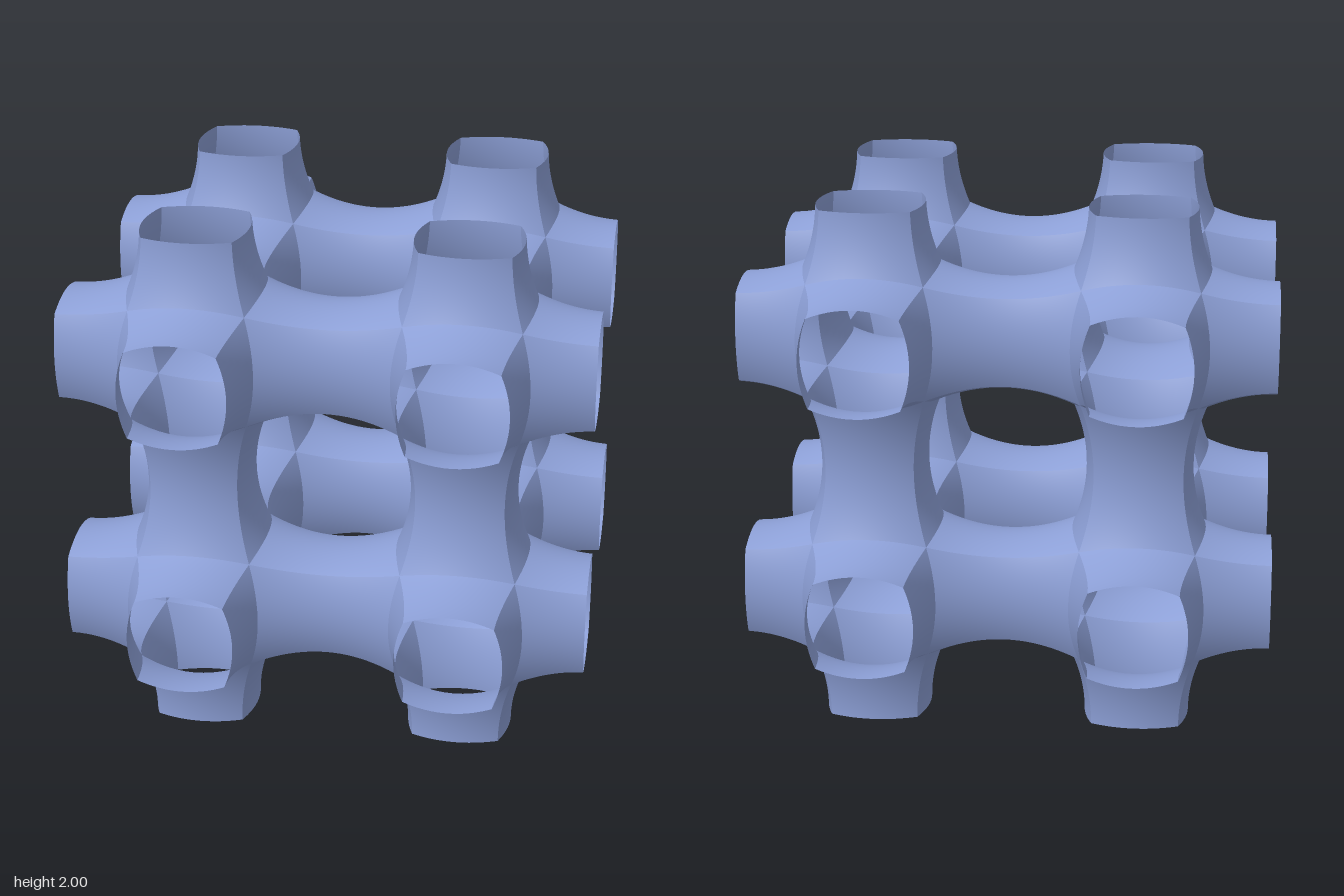
import * as THREE from 'three';
import { mergeGeometries } from 'three/addons/utils/BufferGeometryUtils.js';

const PERIOD = 1.01;   // spacing of the junctions
const OFFSET = 0.1;    // how much nearer the skin lies to its own lattice than to the dual one
const ROWS = 12, COLS = 14;

// One side of an arm (arm along +y, side facing +x). The skin is where the distance to the
// arm's axis plus OFFSET equals the distance to the dual lattice line, in units of one period.
function armSide(reach) {
  const pos = [], nor = [], idx = [];
  for (let i = 0; i <= ROWS; i++) {
    const t = i / ROWS;
    for (let j = 0; j <= COLS; j++) {
      const s = (2 * j) / COLS - 1;
      const a = Math.hypot(1, s), b = Math.hypot(1, 1 - t);
      const x = (0.5 * b - OFFSET) / (a + b);
      const y = Math.min(x + t * (0.5 - x), reach);
      const z = s * x;
      const own = Math.hypot(x, z), dual = Math.hypot(0.5 - x, 0.5 - y);
      const n = new THREE.Vector3(x / own + (0.5 - x) / dual, (0.5 - y) / dual, z / own).normalize();
      pos.push(x * PERIOD, y * PERIOD, z * PERIOD);
      nor.push(n.x, n.y, n.z);
      if (i < ROWS && j < COLS) {
        const p = i * (COLS + 1) + j, q = p + COLS + 1;
        idx.push(p, q, p + 1, q, q + 1, p + 1);
      }
    }
  }
  const g = new THREE.BufferGeometry();
  g.setAttribute('position', new THREE.Float32BufferAttribute(pos, 3));
  g.setAttribute('normal', new THREE.Float32BufferAttribute(nor, 3));
  g.setIndex(idx);
  return g;
}

// Four sides make an open, flared arm with sharp ridges
function armGeometry(reach) {
  const sides = [0, 1, 2, 3].map(k => armSide(reach).rotateY(k * Math.PI / 2));
  return mergeGeometries(sides);
}

export function createModel() {
  const model = new THREE.Group();
  model.name = 'tubeLattice';
  const material = new THREE.MeshStandardMaterial({ color: 0x8c9fd6, side: THREE.DoubleSide });

  const centres = [-1 + PERIOD / 2, -1 + PERIOD * 1.5];
  const fullArm = armGeometry(0.5);
  const cutArm = armGeometry((1 - centres[1]) / PERIOD); // trimmed at the far faces of the block

  const up = new THREE.Vector3(0, 1, 0);
  const axes = ['X', 'Y', 'Z'];

  // Eight junctions, each with six arms
  for (let n = 0; n < 8; n++) {
    const cell = [n & 1, (n >> 1) & 1, n >> 2];
    const junction = new THREE.Group();
    junction.name = 'junction' + (n + 1);
    junction.position.set(centres[cell[0]], centres[cell[1]] + 1, centres[cell[2]]);
    axes.forEach((axis, k) => {
      for (const sign of [1, -1]) {
        const arm = new THREE.Mesh(sign > 0 && cell[k] === 1 ? cutArm : fullArm, material);
        arm.name = 'arm' + (sign > 0 ? 'Plus' : 'Minus') + axis;
        const dir = new THREE.Vector3().setComponent(k, sign);
        arm.quaternion.setFromUnitVectors(up, dir);
        junction.add(arm);
      }
    });
    model.add(junction);
  }
  return model;
}
